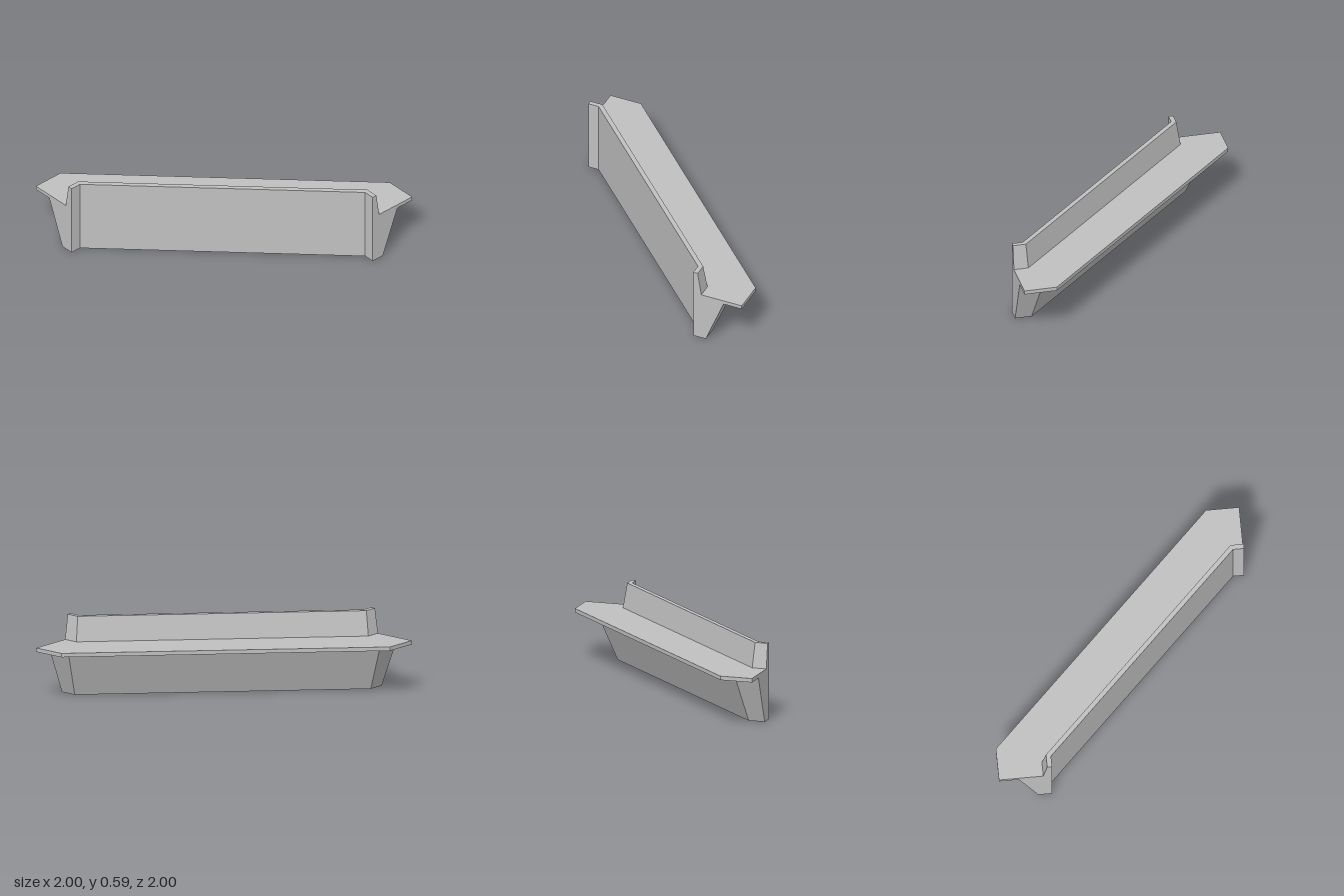
import * as THREE from 'three';

// Cross-section of the parapet: [distance behind the front face, height], counter-clockwise
const PROFILE = [
  [0, 0], [0.103, 0], [0.25, 0.37], [0.4, 0.37],
  [0.4, 0.4], [0.066, 0.4], [0.036, 0.59], [0, 0.59],
];
const FRONT = 0.6;                    // front face position at each short return
const CORNER = 0.9157;                // where the front face turns 45 degrees
const MITRE = Math.tan(Math.PI / 8);  // slope of the mitre joint

// Stations along the run: end, mitre, mitre, end (the second half mirrors the first)
const mirror = (station) => (d, y) => {
  const [x, , z] = station(d, y);
  return [-z, y, -x];
};
const end = (d, y) => [FRONT + d, y, 1];
const mitre = (d, y) => [FRONT + d, y, CORNER - MITRE * d];
const STATIONS = [end, mitre, mirror(mitre), mirror(end)];

function sweep(profile, stations) {
  const rings = stations.map((place) => profile.map(([d, y]) => place(d, y)));
  const pos = [];
  const tri = (a, b, c) => pos.push(...a, ...b, ...c);

  // Long faces between neighbouring stations
  for (let s = 0; s < rings.length - 1; s++) {
    for (let i = 0; i < profile.length; i++) {
      const j = (i + 1) % profile.length;
      const [a, b] = [rings[s][i], rings[s][j]];
      const [c, d] = [rings[s + 1][j], rings[s + 1][i]];
      tri(a, c, b);
      tri(a, d, c);
    }
  }

  // End caps
  const outline = profile.map(([d, y]) => new THREE.Vector2(d, y));
  const first = rings[0];
  const last = rings[rings.length - 1];
  for (const [a, b, c] of THREE.ShapeUtils.triangulateShape(outline, [])) {
    tri(first[a], first[b], first[c]);
    tri(last[a], last[c], last[b]);
  }

  const geometry = new THREE.BufferGeometry();
  geometry.setAttribute('position', new THREE.Float32BufferAttribute(pos, 3));
  geometry.computeVertexNormals();
  return geometry;
}

export function createModel() {
  const grey = new THREE.MeshStandardMaterial({ color: 0xc0c0c0 });
  grey.name = 'light grey';

  const group = new THREE.Group();
  group.name = 'diagonalParapet';

  // Front wall with its tapered foot, ledge and raised lip
  const wall = new THREE.Mesh(sweep(PROFILE, STATIONS), grey);
  wall.name = 'wallWithLedge';
  group.add(wall);
  return group;
}
